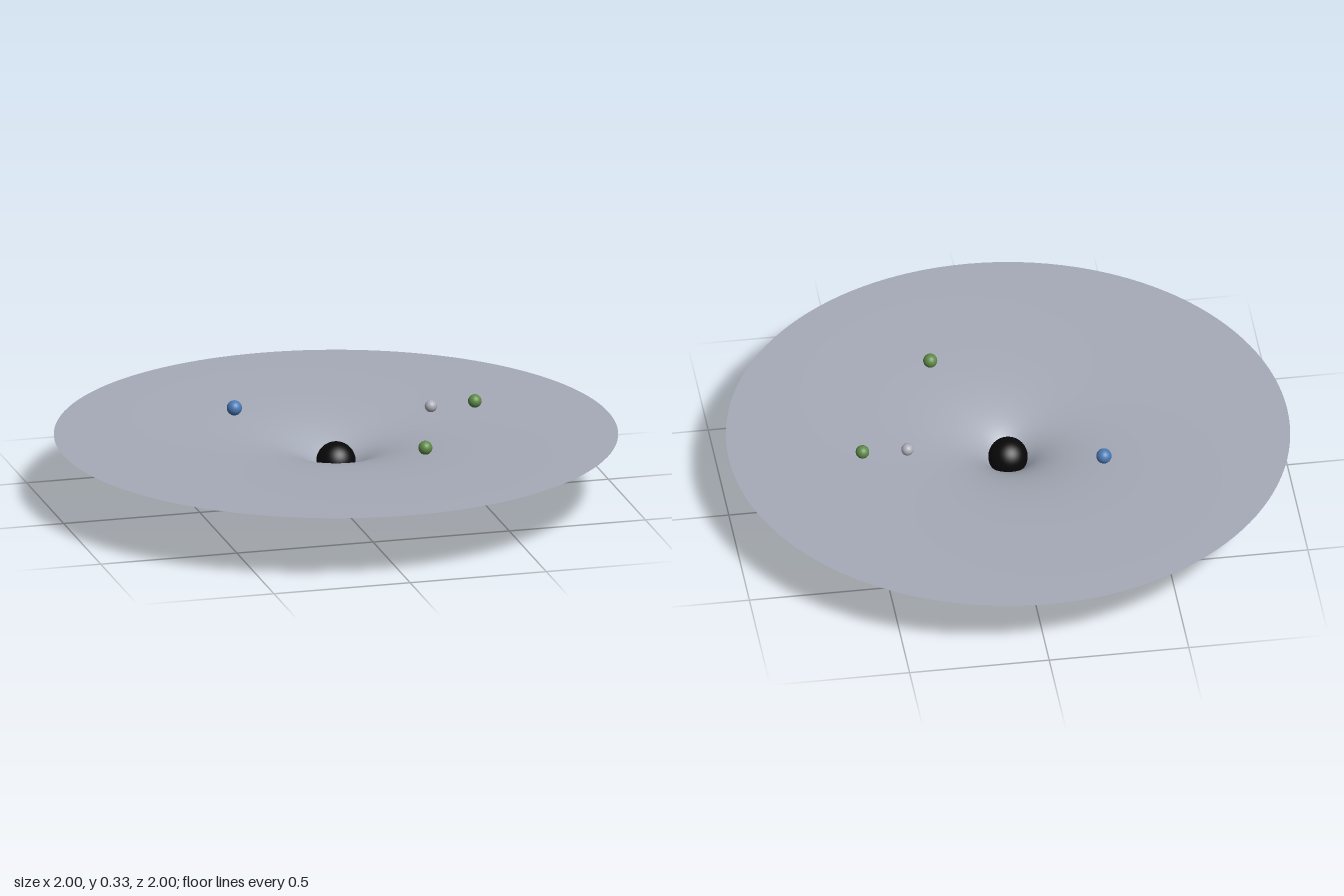
import * as THREE from 'three';

function mat(name, color, extra = {}) {
  const m = new THREE.MeshStandardMaterial({ color, ...extra });
  m.name = name;
  return m;
}

export function createModel() {
  const group = new THREE.Group();
  group.name = 'gravityWell';

  const sheetGrey = mat('sheet grey', 0xa6abb8, { side: THREE.DoubleSide });
  const black = mat('black', 0x080808);
  const blue = mat('blue', 0x4a7ab5);
  const green = mat('green', 0x5f8a48);
  const paleGrey = mat('pale grey', 0xadadb8);

  function ball(name, radius, x, y, z, material, detail = 32) {
    const mesh = new THREE.Mesh(new THREE.SphereGeometry(radius, detail, detail / 2), material);
    mesh.name = name;
    mesh.position.set(x, y, z);
    group.add(mesh);
  }

  // Curved sheet: depth falls off with the inverse square of the offset radius
  const depth = 0.25, a = 0.163;
  const falloff = (r) => (a / (r + a)) ** 2;
  const rim = falloff(1);
  const profile = [];
  const steps = 64;
  for (let i = 0; i <= steps; i++) {
    const r = (i / steps) ** 2; // closer rings near the tip
    profile.push(new THREE.Vector2(r, depth * (1 - (falloff(r) - rim) / (1 - rim))));
  }
  const sheet = new THREE.Mesh(new THREE.LatheGeometry(profile, 128), sheetGrey);
  sheet.name = 'curvedSheet';
  group.add(sheet);

  // Heavy ball wedged in the throat of the sheet
  ball('centralBall', 0.07, 0, 0.15, 0, black, 64);

  // Small balls floating above the sheet
  ball('blueBall', 0.027, -0.308, 0.3, -0.24, blue);
  ball('frontGreenBall', 0.025, 0.22, 0.301, 0.397, green);
  ball('sideGreenBall', 0.024, 0.535, 0.301, -0.093, green);
  ball('paleBall', 0.022, 0.374, 0.295, -0.094, paleGrey);

  return group;
}
